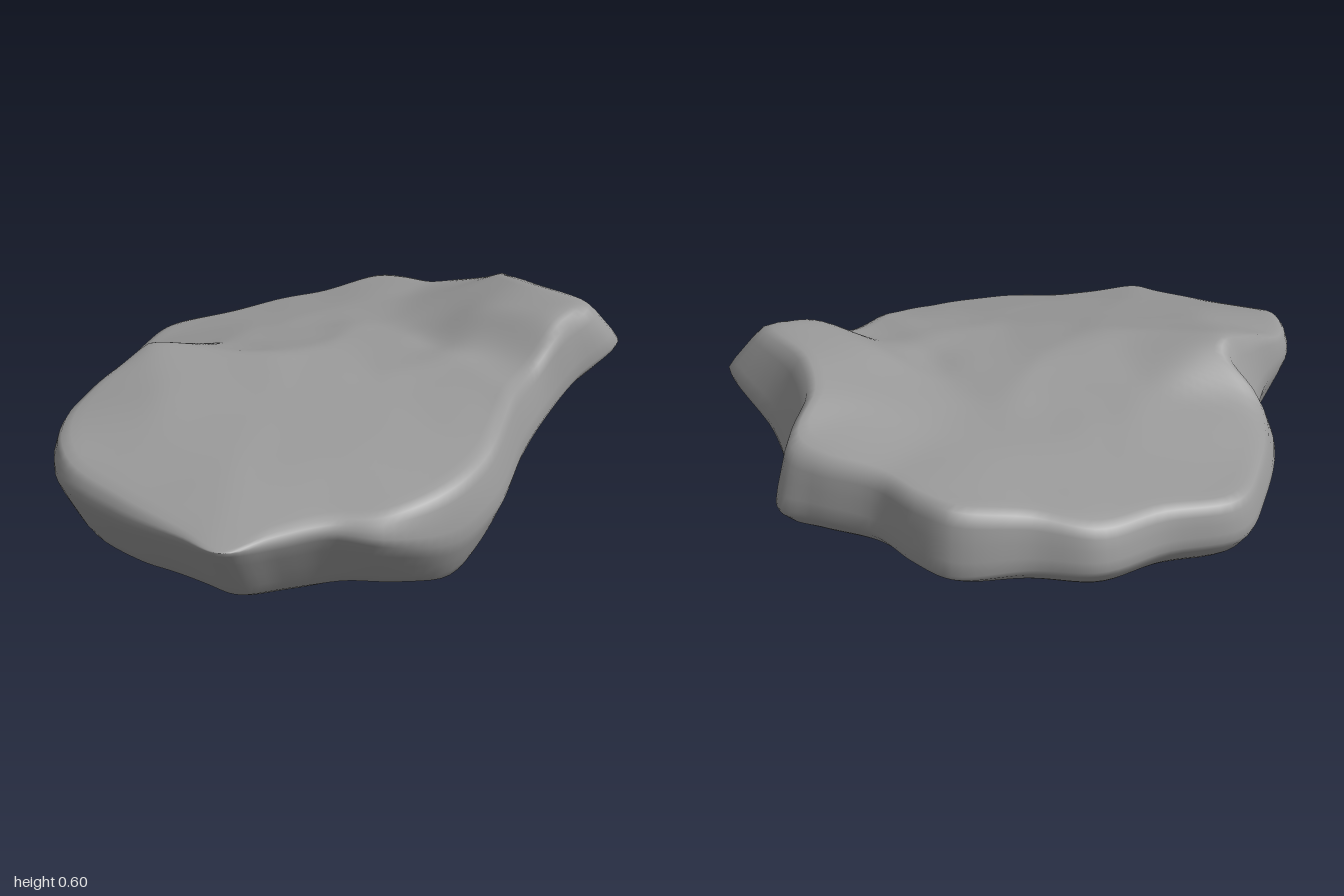
import * as THREE from 'three';

// Widest outline of the slab: x, z, height, inset of the top edge, inset of the underside edge
const OUTLINE = [
  [-0.11, -1.0, 0.27, 0.03, 0.06], [0.01, -0.98, 0.29, 0.03, 0.06], [0.14, -0.92, 0.31, 0.03, 0.05],
  [0.32, -0.92, 0.33, 0.03, 0.05], [0.43, -0.915, 0.33, 0.06, 0.06], [0.48, -0.76, 0.36, 0.09, 0.04],
  [0.6, -0.6, 0.39, 0.1, 0.04], [0.84, -0.4, 0.46, 0.12, 0.06], [0.72, -0.23, 0.38, 0.05, 0.07],
  [0.64, -0.06, 0.31, 0.05, 0.05], [0.59, 0.16, 0.27, 0.05, 0.05], [0.545, 0.43, 0.21, 0.05, 0.04],
  [0.45, 0.61, 0.17, 0.04, 0.06], [0.28, 0.77, 0.22, 0.03, 0.12], [0.13, 0.81, 0.25, 0.02, 0.12],
  [0.0, 0.9, 0.25, 0.02, 0.13], [-0.12, 1.0, 0.27, 0.01, 0.14], [-0.25, 0.95, 0.27, 0.02, 0.13],
  [-0.47, 0.86, 0.27, 0.03, 0.12], [-0.69, 0.73, 0.3, 0.03, 0.1], [-0.78, 0.48, 0.33, 0.03, 0.1],
  [-0.74, 0.26, 0.3, 0.06, 0.07], [-0.75, 0.12, 0.28, 0.12, 0.06], [-0.815, -0.02, 0.26, 0.05, 0.05],
  [-0.835, -0.35, 0.26, 0.03, 0.05], [-0.805, -0.55, 0.25, 0.03, 0.05], [-0.62, -0.7, 0.26, 0.03, 0.05],
  [-0.48, -0.86, 0.27, 0.04, 0.05], [-0.3, -0.91, 0.27, 0.04, 0.05],
];

// Sample heights: x, z, y
const TOP = [
  [-0.12, 0.97, 0.28], [-0.45, 0.8, 0.335], [-0.7, 0.65, 0.39], [-0.74, 0.42, 0.42], [-0.2, 0.65, 0.375],
  [-0.45, 0.6, 0.4], [-0.2, 0.35, 0.445], [0.15, 0.6, 0.35], [0.13, 0.78, 0.295], [0.28, 0.72, 0.3],
  [0.48, 0.42, 0.36], [0.2, 0.35, 0.41], [-0.5, 0.38, 0.46], [-0.61, 0.13, 0.52], [-0.4, 0.13, 0.51],
  [-0.2, 0.13, 0.5], [0.15, 0.13, 0.465], [0.55, 0.12, 0.45], [0.59, -0.08, 0.475], [0.35, -0.1, 0.48],
  [0.45, -0.14, 0.485], [0.24, -0.26, 0.475], [0.08, -0.35, 0.465], [0.38, -0.31, 0.55], [0.6, -0.23, 0.575],
  [0.7, -0.4, 0.6], [0.52, -0.56, 0.612], [0.27, -0.58, 0.54], [0.4, -0.7, 0.575], [0.36, -0.87, 0.51],
  [0.13, -0.88, 0.48], [-0.1, -0.97, 0.47], [-0.3, -0.87, 0.42], [-0.47, -0.82, 0.385], [-0.1, -0.6, 0.455],
  [-0.4, -0.45, 0.42], [-0.6, -0.62, 0.38], [-0.77, -0.52, 0.36], [-0.79, -0.3, 0.36], [-0.76, -0.04, 0.38],
  [-0.45, -0.12, 0.45], [-0.05, -0.12, 0.48], [0.08, -0.6, 0.48],
];
const UNDERSIDE = [
  [-0.12, 0.87, 0.07], [-0.11, 0.65, 0.0], [0.12, 0.68, 0.04], [0.42, 0.5, 0.045], [-0.4, 0.7, 0.06],
  [-0.62, 0.55, 0.11], [-0.69, 0.3, 0.14], [-0.7, 0.05, 0.15], [-0.78, -0.3, 0.17], [-0.35, 0.35, 0.075],
  [0.51, 0.38, 0.13], [0.25, 0.3, 0.085], [0.0, 0.3, 0.075], [-0.3, 0.05, 0.115], [0.2, 0.0, 0.13],
  [0.53, 0.1, 0.2], [0.58, -0.1, 0.25], [0.6, -0.3, 0.31], [0.78, -0.38, 0.41], [0.22, -0.22, 0.165],
  [-0.2, -0.3, 0.14], [-0.5, -0.3, 0.15], [-0.72, -0.55, 0.18], [-0.45, -0.78, 0.2], [-0.1, -0.93, 0.225],
  [-0.2, -0.6, 0.175], [0.4, -0.86, 0.27], [0.15, -0.86, 0.25], [0.12, -0.5, 0.2], [0.53, -0.58, 0.32],
  [0.38, -0.4, 0.26],
];

// Smooth height field: a small plane fitted to the samples around each point,
// corrected so that it passes close to every sample
function heightField(samples, sigma) {
  const target = samples.map((s) => s[2]);
  const field = (x, z) => {
    const m = [0, 0, 0, 0, 1e-4, 0, 0, 0, 1e-4];
    const rhs = new THREE.Vector3();
    samples.forEach(([sx, sz], k) => {
      const basis = [1, sx - x, sz - z];
      const w = Math.exp(-(basis[1] ** 2 + basis[2] ** 2) / (sigma * sigma));
      for (let i = 0; i < 9; i++) m[i] += w * basis[i % 3] * basis[Math.floor(i / 3)];
      rhs.add(new THREE.Vector3(...basis).multiplyScalar(w * target[k]));
    });
    return rhs.applyMatrix3(new THREE.Matrix3().fromArray(m).invert()).x;
  };
  for (let pass = 0; pass < 3; pass++) {
    const error = samples.map(([x, z, y]) => y - field(x, z));
    error.forEach((e, k) => { target[k] += e; });
  }
  return field;
}

function slabGeometry() {
  const SEG = 180, RINGS = 26, WALL = 4;
  const top = heightField(TOP, 0.15), under = heightField(UNDERSIDE, 0.18);
  const centre = new THREE.Vector3(-0.05, 0, -0.05);
  const closed = (pick) => new THREE.CatmullRomCurve3(OUTLINE.map(pick), true, 'centripetal');
  const edge = closed(([x, z, y]) => new THREE.Vector3(x, y, z));
  // Top and underside edges, moved in from the outline towards the centre
  const insetEdge = (column, field) => closed((row) => {
    const p = new THREE.Vector3(row[0], 0, row[1]);
    p.lerp(centre, row[column] / p.distanceTo(centre));
    p.y = field(p.x, p.z);
    return p;
  });
  const topEdge = insetEdge(3, top), underEdge = insetEdge(4, under);

  // Rows run from the top centre, over the edge and down the wall, to the underside centre.
  // All three edges share the outline's parameter, so the wall columns line up.
  const rows = [];
  const row = (make) => rows.push(Array.from({ length: SEG }, (_, i) => make(i / SEG)));
  const face = (curve, field, t) => row((u) => {
    const p = curve.getPoint(u).lerp(centre, 1 - t);
    p.y = field(p.x, p.z);
    return p;
  });
  const wall = (from, to, k) => row((u) => {
    const a = from.getPoint(u), b = to.getPoint(u);
    if (from === topEdge) a.y = top(a.x, a.z);
    if (to === underEdge) b.y = under(b.x, b.z);
    return a.lerp(b, k / WALL);
  });
  for (let r = 1; r <= RINGS; r++) face(topEdge, top, r / RINGS);
  for (let k = 1; k <= WALL; k++) wall(topEdge, edge, k);
  for (let k = 1; k < WALL; k++) wall(edge, underEdge, k);
  for (let r = RINGS; r >= 1; r--) face(underEdge, under, r / RINGS);

  // Soften the worn edges
  const sharp = rows.map((r) => r.map((p) => p.clone()));
  for (let r = RINGS - 2; r < rows.length - RINGS + 2; r++) {
    rows[r].forEach((p, i) => {
      p.lerp(sharp[r - 1][i].clone().add(sharp[r + 1][i]).multiplyScalar(0.5), 0.4);
    });
  }

  const positions = [], index = [];
  rows.flat().forEach((p) => positions.push(p.x, p.y, p.z));
  const topCentre = rows.length * SEG, underCentre = topCentre + 1;
  positions.push(centre.x, top(centre.x, centre.z), centre.z);
  positions.push(centre.x, under(centre.x, centre.z), centre.z);
  const last = (rows.length - 1) * SEG;
  for (let i = 0; i < SEG; i++) {
    const j = (i + 1) % SEG;
    index.push(topCentre, j, i, underCentre, last + i, last + j);
    for (let r = 0; r < rows.length - 1; r++) {
      const a = r * SEG + i, b = r * SEG + j;
      index.push(a, b, b + SEG, a, b + SEG, a + SEG);
    }
  }
  const geometry = new THREE.BufferGeometry();
  geometry.setAttribute('position', new THREE.Float32BufferAttribute(positions, 3));
  geometry.setIndex(index);
  geometry.computeVertexNormals();

  // Stand on the ground, centred
  geometry.computeBoundingBox();
  const box = geometry.boundingBox, mid = box.getCenter(new THREE.Vector3());
  geometry.translate(-mid.x, -box.min.y, -mid.z);
  return geometry;
}

export function createModel() {
  const group = new THREE.Group();
  group.name = 'rock';
  const slab = new THREE.Mesh(slabGeometry(), new THREE.MeshStandardMaterial({ color: 0x999999 }));
  slab.name = 'rockSlab';
  group.add(slab);
  return group;
}
